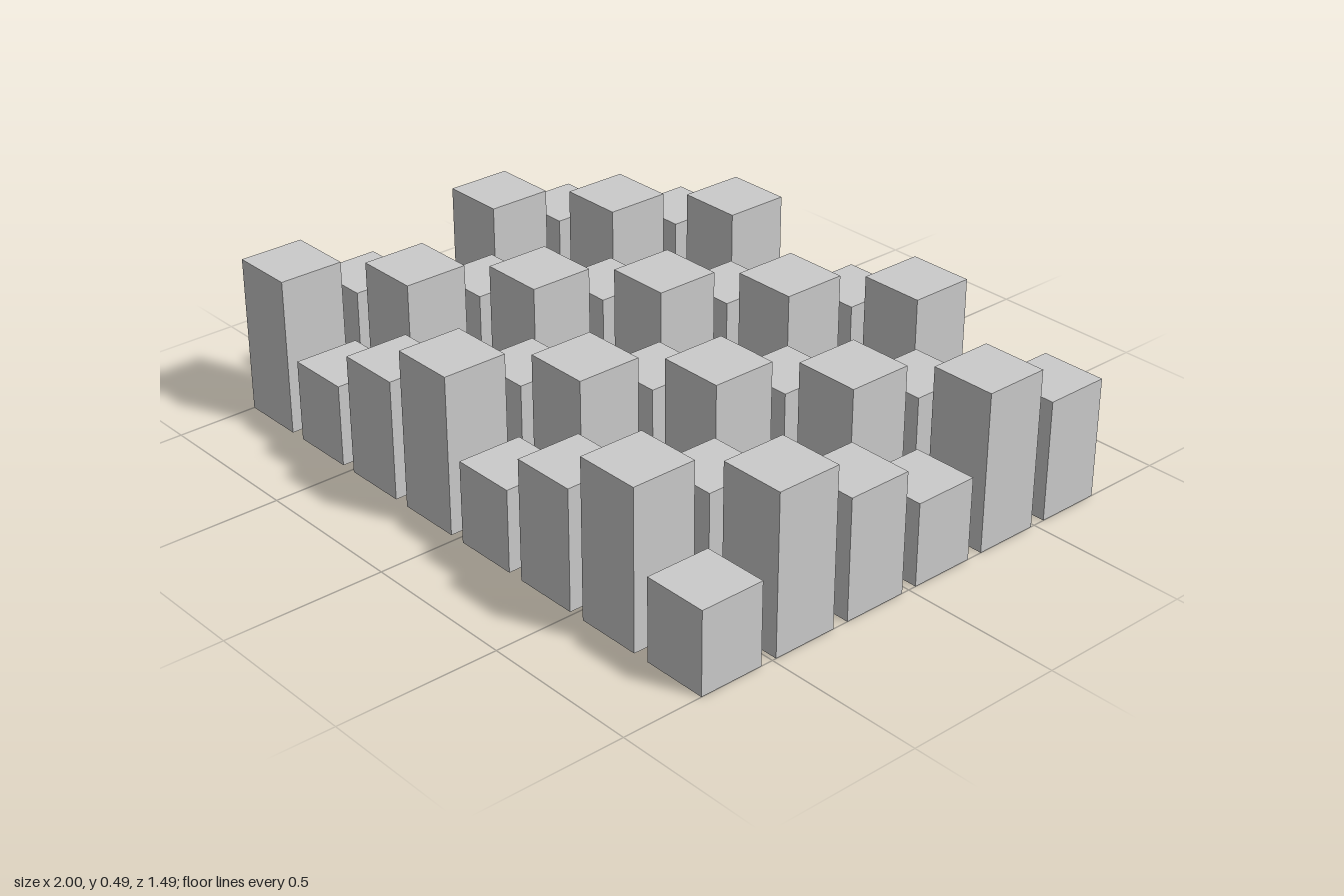
import * as THREE from 'three';

const COLUMNS = 8, ROWS = 6;
const PITCH = 2 / (COLUMNS - 0.2); // spacing of block centres
const WIDTH = PITCH * 0.8;         // square footprint of a block
const HEIGHTS = [1.92, 1, 1.46].map((h) => h * PITCH); // tall, low, medium

// Hollow block resting on the ground: four walls and a top, open underneath
function openBlock(height) {
  const box = new THREE.BoxGeometry(WIDTH, height, WIDTH).translate(0, height / 2, 0);
  const bottom = box.groups[3];
  const faces = Array.from(box.index.array);
  faces.splice(bottom.start, bottom.count);
  box.setIndex(faces);
  box.clearGroups();
  return box;
}

export function createModel() {
  const model = new THREE.Group();
  model.name = 'blockGrid';
  const material = new THREE.MeshStandardMaterial({
    color: 0xcccccc, flatShading: true, side: THREE.DoubleSide,
  });
  const blocks = HEIGHTS.map(openBlock);

  // Rows run back to front; heights repeat in diagonal bands
  for (let row = 0; row < ROWS; row++) {
    const rowGroup = new THREE.Group();
    rowGroup.name = `blockRow${row + 1}`;
    rowGroup.position.z = (row - (ROWS - 1) / 2) * PITCH;
    for (let col = 0; col < COLUMNS; col++) {
      const block = new THREE.Mesh(blocks[(col + row + 1) % 3], material);
      block.name = `block${row + 1}_${col + 1}`;
      block.position.x = (col - (COLUMNS - 1) / 2) * PITCH;
      rowGroup.add(block);
    }
    model.add(rowGroup);
  }
  return model;
}
